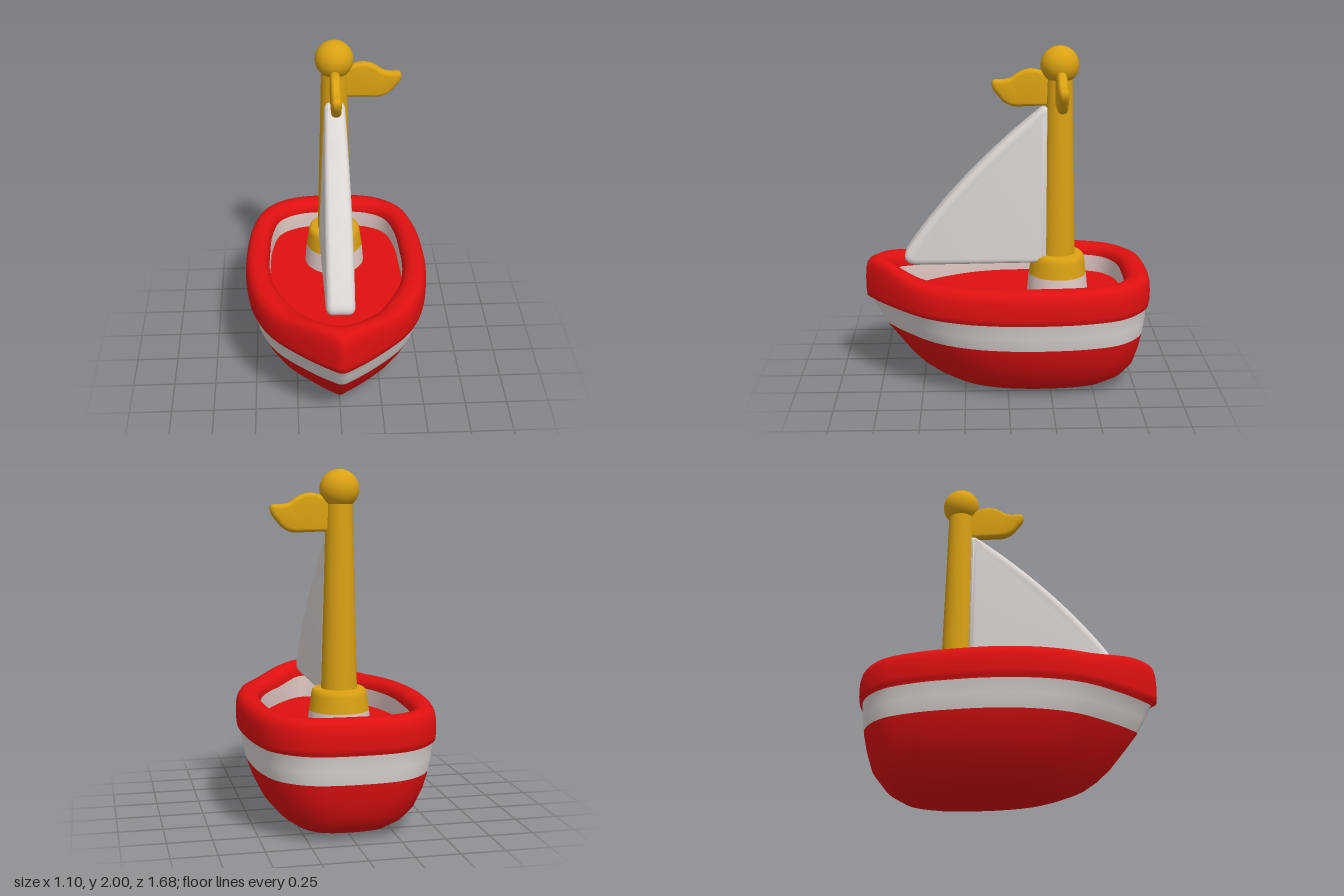
import * as THREE from 'three';
import { toCreasedNormals } from 'three/addons/utils/BufferGeometryUtils.js';

const SIDES = 96;

// Closed plan outline (x, z) from the left half, running bow to stern and back
function outline(half) {
  const pts = half.map(([x, z]) => new THREE.Vector3(x, 0, z));
  const mirror = half.slice(1, -1).reverse().map(([x, z]) => new THREE.Vector3(-x, 0, z));
  const curve = new THREE.CatmullRomCurve3([...pts, ...mirror], true);
  return Array.from({ length: SIDES }, (_, j) => curve.getPoint(j / SIDES));
}

// Smooth skin over stacked rings; bands lists [firstRing, lastRing, materialIndex]
function loft(rings, bands) {
  const geo = new THREE.BufferGeometry();
  const index = [];
  for (const [first, last, material] of bands) {
    const start = index.length;
    for (let i = first; i < last; i++) {
      for (let j = 0; j < SIDES; j++) {
        const k = (j + 1) % SIDES;
        const a = i * SIDES + j, b = i * SIDES + k;
        index.push(a, b, b + SIDES, a, b + SIDES, a + SIDES);
      }
    }
    geo.addGroup(start, index.length - start, material);
  }
  geo.setAttribute('position', new THREE.Float32BufferAttribute(rings.flat().flatMap((p) => [p.x, p.y, p.z]), 3));
  geo.setIndex(index);
  geo.computeVertexNormals();
  return geo;
}

// Rounded slab from a side outline drawn in (x, y), centred on z = 0
function slab(shape, thickness, bevel) {
  const geo = new THREE.ExtrudeGeometry(shape, {
    depth: thickness - 2 * bevel, bevelThickness: bevel, bevelSize: bevel,
    bevelOffset: -bevel, bevelSegments: 6, curveSegments: 24,
  });
  geo.translate(0, 0, bevel - thickness / 2);
  return geo;
}

function lathe(profile) {
  return new THREE.LatheGeometry(profile.map(([r, y]) => new THREE.Vector2(r, y)), 48);
}

export function createModel() {
  const red = new THREE.MeshStandardMaterial({ color: 0xe01010 });
  const white = new THREE.MeshStandardMaterial({ color: 0xdcd6d3 });
  const pale = new THREE.MeshStandardMaterial({ color: 0xdec6c1 });
  const yellow = new THREE.MeshStandardMaterial({ color: 0xdaa112 });
  red.name = 'red';
  white.name = 'white';
  pale.name = 'pale pink white';
  yellow.name = 'yellow';

  const model = new THREE.Group();
  const add = (name, geo, material, parent = model) => {
    const mesh = new THREE.Mesh(geo, material);
    mesh.name = name;
    parent.add(mesh);
    return mesh;
  };

  const outer = outline([[0, 0.838], [0.07, 0.80], [0.22, 0.68], [0.40, 0.49], [0.50, 0.27], [0.545, 0],
    [0.545, -0.22], [0.52, -0.45], [0.45, -0.66], [0.29, -0.80], [0, -0.84]]);
  const inner = outline([[0, 0.66], [0.06, 0.645], [0.15, 0.56], [0.27, 0.39], [0.36, 0.2], [0.40, 0],
    [0.40, -0.2], [0.385, -0.42], [0.33, -0.59], [0.2, -0.67], [0, -0.685]]);

  // Hull: [y, half width, bow z, stern z]
  const hullRings = [
    [0, 0.002, -0.098, -0.102], [0, 0.17, 0.25, -0.46], [0.006, 0.23, 0.33, -0.53], [0.03, 0.295, 0.41, -0.62],
    [0.08, 0.36, 0.485, -0.70], [0.15, 0.42, 0.56, -0.755], [0.25, 0.47, 0.64, -0.785],
    [0.35, 0.503, 0.718, -0.805], [0.43, 0.52, 0.762, -0.815], [0.51, 0.53, 0.802, -0.82],
  ].map(([y, w, bow, stern]) => outer.map((p) => new THREE.Vector3(
    p.x * w / 0.548, y, THREE.MathUtils.mapLinear(p.z, -0.84, 0.838, stern, bow))));

  // Rim: [y, share of the way from outer to inner outline], rising at the bow
  const rimRings = [
    [0.522, 0.03], [0.55, 0.005], [0.60, 0], [0.64, 0.02], [0.67, 0.07], [0.692, 0.17], [0.703, 0.32],
    [0.706, 0.5], [0.703, 0.67], [0.692, 0.83], [0.672, 0.94], [0.64, 1], [0.53, 1],
  ].map(([y, s]) => outer.map((p, j) => {
    const q = p.clone().lerp(inner[j], s);
    const rise = THREE.MathUtils.smoothstep(q.z, 0.46, 0.77) * THREE.MathUtils.smoothstep(y, 0.51, 0.69);
    q.y = y + 0.06 * rise;
    return q;
  }));
  add('hull', loft([...hullRings, ...rimRings], [[0, 7, 0], [7, 9, 1], [9, 21, 0], [21, 22, 2]]), [red, white, pale]);

  // Deck
  const deckRings = [1, 0.5, 0.002].map((k) => inner.map((p) => new THREE.Vector3(p.x * k, 0.535, p.z * k)));
  add('deck', loft(deckRings, [[0, 2, 0]]), [red]);

  // Mast with its base and ball
  const mast = new THREE.Group();
  mast.name = 'mast';
  mast.position.z = -0.3;
  model.add(mast);
  add('mastFoot', lathe([[0.182, 0.53], [0.176, 0.6], [0.17, 0.655]]), pale, mast);
  add('mastCollar', lathe([[0.17, 0.655], [0.163, 0.7], [0.158, 0.745], [0.152, 0.768], [0.138, 0.78], [0, 0.78]]), yellow, mast);
  add('mastPole', lathe([[0.102, 0.76], [0.098, 0.9], [0.085, 1.4], [0.073, 1.88]]), yellow, mast);
  add('mastBall', new THREE.SphereGeometry(0.11, 40, 28), yellow, mast).position.y = 1.89;

  // Two wavy flags, one to the left and one to the front
  const flagShape = new THREE.Shape();
  flagShape.moveTo(0.03, 1.66);
  flagShape.lineTo(0.2, 1.655);
  flagShape.bezierCurveTo(0.28, 1.645, 0.32, 1.67, 0.355, 1.72);
  flagShape.bezierCurveTo(0.385, 1.75, 0.395, 1.78, 0.385, 1.8);
  flagShape.bezierCurveTo(0.365, 1.825, 0.31, 1.79, 0.26, 1.835);
  flagShape.bezierCurveTo(0.2, 1.88, 0.15, 1.875, 0.11, 1.86);
  flagShape.lineTo(0.03, 1.82);
  flagShape.closePath();
  const flagGeo = toCreasedNormals(slab(flagShape, 0.056, 0.025), 1.0);
  add('leftFlag', flagGeo, yellow, mast);
  add('frontFlag', flagGeo, yellow, mast).rotation.y = -Math.PI / 2;

  // Sail: outline in (z, y), thinner towards the top and the front corner
  const sailShape = new THREE.Shape();
  sailShape.moveTo(-0.23, 0.735);
  sailShape.lineTo(0.53, 0.722);
  sailShape.bezierCurveTo(0.6, 0.725, 0.62, 0.765, 0.585, 0.815);
  sailShape.bezierCurveTo(0.4, 1.09, 0.12, 1.39, -0.19, 1.64);
  sailShape.quadraticCurveTo(-0.21, 1.655, -0.23, 1.65);
  sailShape.closePath();
  const sailGeo = slab(sailShape, 0.2, 0.04);
  const pos = sailGeo.attributes.position;
  for (let i = 0; i < pos.count; i++) {
    const up = THREE.MathUtils.clamp((pos.getY(i) - 0.73) / 0.92, 0, 1);
    const front = THREE.MathUtils.clamp(pos.getX(i) / 0.6, 0, 1);
    pos.setZ(i, pos.getZ(i) * (1 - 0.4 * up) * (1 - 0.2 * front * front));
  }
  add('sail', toCreasedNormals(sailGeo, 0.9), white).rotation.y = -Math.PI / 2;

  return model;
}
